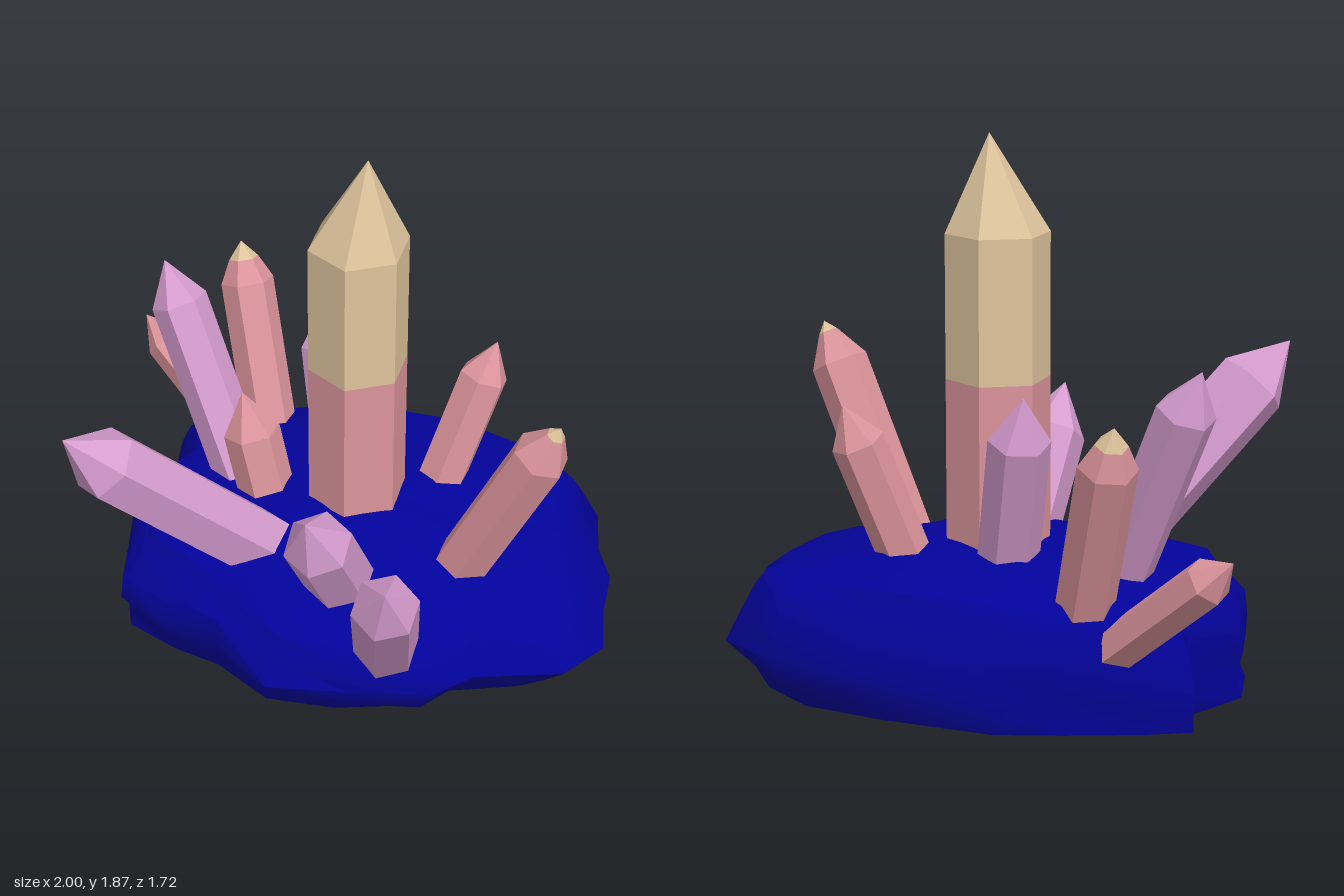
import * as THREE from 'three';
import { toCreasedNormals, mergeVertices } from 'three/addons/utils/BufferGeometryUtils.js';

const material = (name, color, flatShading = true) =>
  Object.assign(new THREE.MeshStandardMaterial({ color, flatShading }), { name });

// Six-sided shaft with a pointed end, running from base to tip, split into colours along its length
function crystal(name, base, tip, radius, tipLength, shaftMat, tipMat, { shaft, cap = 0, lean = 0, roll = 0 }) {
  const group = new THREE.Group();
  group.name = name;
  const from = new THREE.Vector3(...base);
  const axis = new THREE.Vector3(...tip).sub(from);
  const length = axis.length();
  const shoulder = length - tipLength;
  const add = (part, r0, r1, y0, y1, mat, shift = 0) => {
    const g = new THREE.CylinderGeometry(r1, r0, y1 - y0, 6, 1, true);
    g.rotateY(roll).translate(0, (y0 + y1) / 2, 0);
    const p = g.attributes.position;
    for (let i = 0; i < p.count; i++) if (p.getY(i) > y1 - 1e-4) p.setX(i, p.getX(i) + shift);
    const mesh = new THREE.Mesh(g, mat);
    mesh.name = part;
    group.add(mesh);
  };
  if (shaft) {
    add('lowerShaft', radius, radius, 0, shaft, shaftMat);
    add('upperShaft', radius, radius, shaft, shoulder, tipMat);
    add('point', radius, 0, shoulder, length, tipMat, lean);
  } else {
    const capRadius = radius * cap / tipLength * 1.3;
    add('shaft', radius, radius, 0, shoulder, shaftMat);
    add('point', radius, capRadius, shoulder, length - cap, shaftMat);
    if (cap) add('pointCap', capRadius, 0, length - cap, length, tipMat);
  }
  group.position.copy(from);
  group.quaternion.setFromUnitVectors(new THREE.Vector3(0, 1, 0), axis.normalize());
  return group;
}

// Rough boulder made of rings that follow an irregular outline
function rockGeometry() {
  const outline = [
    [1.0, -0.03], [0.9, 0.14], [0.62, 0.27], [0.5, 0.41], [0.23, 0.49], [-0.05, 0.55], [-0.3, 0.4],
    [-0.5, 0.36], [-0.7, 0.27], [-0.76, 0.1], [-0.83, -0.13], [-0.73, -0.4], [-0.8, -0.54],
    [-0.66, -0.63], [-0.4, -0.75], [-0.17, -0.84], [0.25, -0.86], [0.57, -0.84], [0.8, -0.72],
    [0.85, -0.55], [0.94, -0.4], [0.95, -0.22],
  ];
  // height, scale, roughness, sideways shift
  const rings = [[0.01, 0, 0, 0], [0.01, 0.5, 0, -0.03], [0.01, 0.86, 0.02, -0.055], [0.09, 0.93, 0.03, -0.02],
    [0.17, 1, 0.01, 0], [0.27, 0.95, 0.03, 0], [0.35, 0.88, 0.025, 0], [0.405, 0.76, 0.02, 0],
    [0.45, 0.55, 0.015, 0], [0.49, 0.28, 0.01, 0], [0.505, 0, 0, 0]];
  const n = outline.length, cx = 0.06, cz = -0.2;
  let seed = 7;
  const noise = () => ((seed = (seed * 16807) % 2147483647) / 2147483647) * 2 - 1;
  const pos = [], index = [];
  rings.forEach(([y, s, rough, shift], k) => {
    for (const [x, z] of outline) {
      const dx = x - cx, dz = z - cz;
      // The back and right sides rise as steep walls
      const steep = s > 0.7 ? THREE.MathUtils.clamp(0.6 - 0.53 * dx - 0.7 * dz, 0, 1) * 0.5 : 0;
      const scale = s + (1 - s) * steep + noise() * rough;
      const lift = y > 0.2 ? 0.05 * s * Math.max(0, -dz) - 0.05 * s * Math.max(0, x - 0.4) : 0;
      const bump = y > 0.01 ? noise() * rough * 0.6 : 0;
      pos.push(cx + shift + dx * scale, y + lift + bump, cz + dz * scale);
    }
    if (k === 0) return;
    for (let i = 0; i < n; i++) {
      const a = (k - 1) * n + i, b = (k - 1) * n + (i + 1) % n;
      index.push(a, b + n, b, a, a + n, b + n);
    }
  });
  const g = new THREE.BufferGeometry();
  g.setAttribute('position', new THREE.Float32BufferAttribute(pos, 3));
  g.setIndex(index);
  return toCreasedNormals(mergeVertices(g), 0.8);
}

export function createModel() {
  const model = new THREE.Group();
  model.name = 'crystalCluster';
  const blue = material('rockBlue', 0x03039b, false);
  const tan = material('tan', 0xdec49c);
  const rose = material('rose', 0xdb949b);
  const lilac = material('lilac', 0xd59bce);
  const magenta = material('rootMagenta', 0xcc0088);

  const rock = new THREE.Mesh(rockGeometry(), blue);
  rock.name = 'rock';
  model.add(rock);

  // Tall centre crystal
  model.add(crystal('centreCrystal', [0.026, 0.1, -0.22], [0.026, 1.87, -0.22], 0.178, 0.33, rose, tan,
    { shaft: 0.95, lean: 0.03, roll: 0.06 }));

  // Surrounding crystals: name, point near the rock, tip, radius, material, coloured cap length
  const around = [
    ['frontLeftCrystal', [0.335, 0.35, 0.39], [0.475, 0.985, 0.855], 0.114, lilac, 0],
    ['frontCrystal', [0.105, 0.45, 0.22], [0.08, 0.885, 0.49], 0.122, lilac, 0],
    ['frontRightCrystal', [-0.27, 0.44, 0.11], [-0.74, 1.09, 0.57], 0.13, lilac, 0],
    ['rightCrystal', [-0.45, 0.45, -0.27], [-0.77, 1.175, -0.42], 0.102, lilac, 0],
    ['backLilacCrystal', [-0.08, 0.5, -0.37], [-0.2, 1.06, -0.525], 0.105, lilac, 0],
    ['innerRoseCrystal', [-0.31, 0.45, -0.18], [-0.4, 0.83, -0.2], 0.102, rose, 0],
    ['backLeftCrystal', [0.28, 0.45, -0.42], [0.43, 0.99, -0.575], 0.09, rose, 0],
    ['leftCrystal', [0.47, 0.4, -0.04], [0.815, 1.135, 0.03], 0.1, rose, 0.04],
    ['backRightCrystal', [-0.45, 0.43, -0.6], [-0.62, 1.06, -0.79], 0.098, rose, 0.065],
    ['farRightCrystal', [-0.64, 0.36, -0.63], [-1.0, 0.665, -0.755], 0.08, rose, 0],
  ];
  for (const [name, base, tip, radius, mat, cap] of around) {
    // Sink the base into the rock along the crystal's own axis
    const t = new THREE.Vector3(...tip), b = new THREE.Vector3(...base);
    const sunk = b.clone().addScaledVector(t.clone().sub(b).normalize(), -0.14);
    model.add(crystal(name, sunk.toArray(), tip, radius, radius * 1.55, mat, tan, { cap }));
  }

  // Crystal roots showing through the underside
  for (const [x, z, r] of [[0.03, -0.22, 0.17], [0.18, 0.06, 0.08], [0.26, -0.07, 0.07], [-0.29, -0.23, 0.1], [-0.31, -0.5, 0.075]]) {
    const root = new THREE.Mesh(new THREE.CylinderGeometry(r, r, 0.009, 6), magenta);
    root.position.set(x, 0.0065, z);
    root.name = 'crystalRoot';
    model.add(root);
  }
  return model;
}
